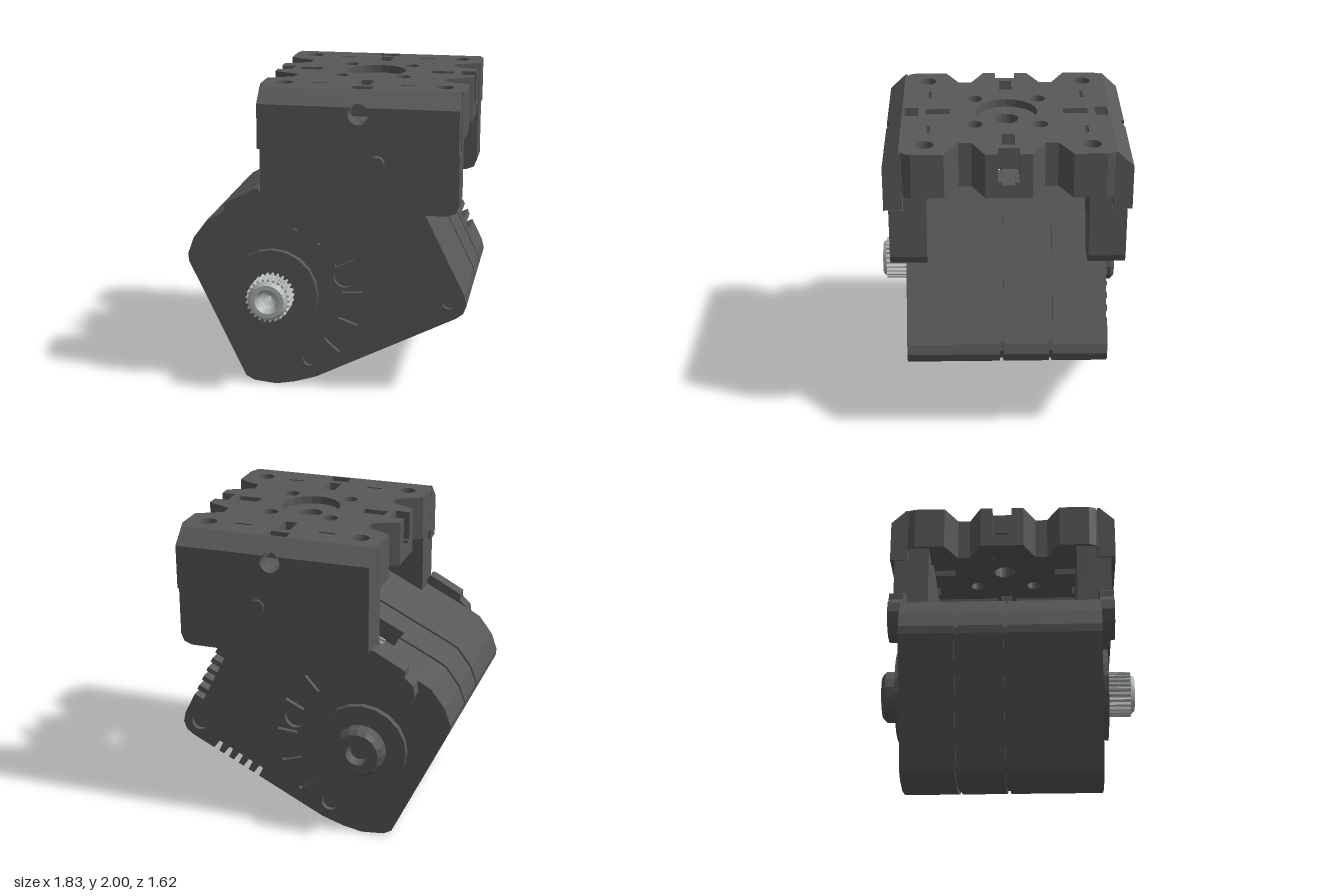
import * as THREE from 'three';

const dark = new THREE.MeshStandardMaterial({ color: 0x585858 });
dark.name = 'dark grey plastic';
const metal = new THREE.MeshStandardMaterial({ color: 0xb4b8b8 });
metal.name = 'light metal';

const HUB = [-0.34, 0.64];
const toShape = (pts) => new THREE.Shape(pts.map(([x, y]) => new THREE.Vector2(x, y)));
const toPath = (pts) => new THREE.Path(pts.map(([x, y]) => new THREE.Vector2(x, y)));
const circle = (x, y, r) => new THREE.Path().absarc(x, y, r, 0, Math.PI * 2, true);
const rect = (x, y, w, h) => toPath([[x - w, y - h], [x - w, y + h], [x + w, y + h], [x + w, y - h]]);

function add(group, name, geometry, material = dark) {
  const mesh = new THREE.Mesh(geometry, material);
  mesh.name = name;
  group.add(mesh);
  return mesh;
}

// extrude an x-y outline between two z values
function slab(pts, z0, z1, holes = []) {
  const shape = toShape(pts);
  shape.holes.push(...holes);
  const g = new THREE.ExtrudeGeometry(shape, { depth: Math.abs(z1 - z0), bevelEnabled: false, curveSegments: 10 });
  return g.translate(0, 0, Math.min(z0, z1));
}

// extrude an x-z outline between two heights
function layer(pts, y0, y1, holes = []) {
  return slab(pts, 0, y1 - y0, holes).rotateX(Math.PI / 2).translate(0, y1, 0);
}

// faceted turned part pointing along z
function turned(profile, sides, dir, x, y, z) {
  const g = new THREE.LatheGeometry(profile.map(([r, h]) => new THREE.Vector2(r, h)), sides).toNonIndexed();
  g.computeVertexNormals();
  return g.rotateX(dir * Math.PI / 2).translate(x, y, z);
}

// square cut running inward from the edge p-q
function cut(p, q, depth) {
  const dx = q[0] - p[0], dy = q[1] - p[1], l = Math.hypot(dx, dy);
  const nx = -dy / l * depth, ny = dx / l * depth;
  return [p, [p[0] + nx, p[1] + ny], [q[0] + nx, q[1] + ny], q];
}

// tilted case outline, optionally with cooling slots and a socket pocket
function caseOutline(fins, pocket) {
  const bottom = (y) => [(y - 0.07) / 0.5055 - 0.06, y];
  const right = (y) => [0.63 - 0.495 * (y - 1.23), y];
  const top = (x) => [x, 1.15 + 0.5 * (x + 0.69)];
  const p = [[-0.535, 0.045], [-0.48, 0.015], [-0.33, 0], [-0.2, 0.025], [-0.06, 0.07]];
  if (fins) for (const y of [0.305, 0.342, 0.377, 0.412, 0.447]) p.push(...cut(bottom(y - 0.009), bottom(y + 0.009), 0.07));
  p.push([0.85, 0.53], [0.895, 0.565], [0.915, 0.62], [0.9, 0.685]);
  if (fins) for (const y of [0.85, 0.923, 0.993, 1.06, 1.13]) p.push(...cut(right(y - 0.02), right(y + 0.02), 0.07));
  p.push([0.457, 1.58], [0.44, 1.62], [0.41, 1.648], [0.37, 1.66], [0.32, 1.652], [0.27, 1.63]);
  if (pocket) p.push(...cut(top(-0.26), top(-0.47), 0.12));
  p.push([-0.69, 1.15], [-0.78, 1.1], [-0.87, 0.98], [-0.91, 0.87], [-0.905, 0.82]);
  return p;
}

// engraved dial ticks and screw holes of a case face
function faceHoles(screw) {
  const holes = [circle(0.125, 0.765, 0.07), circle(0.8, 0.63, screw), circle(-0.11, 0.18, screw)];
  for (let i = 0; i < 6; i++) {
    const a = (71 - i * 22.5) * Math.PI / 180, c = Math.cos(a), s = Math.sin(a);
    holes.push(toPath([[0.45, -0.01], [0.45, 0.01], [0.585, 0.01], [0.585, -0.01]]
      .map(([r, t]) => [HUB[0] + r * c - t * s, HUB[1] + r * s + t * c])));
  }
  return holes;
}

function buildCase() {
  const g = new THREE.Group();
  g.name = 'motorCase';
  add(g, 'frontCover', slab(caseOutline(), 0.57, 0.6, faceHoles(0.04)));
  add(g, 'frontShell', slab(caseOutline(), 0.012, 0.57));
  add(g, 'middleShell', slab(caseOutline(), -0.22, -0.012));
  add(g, 'middleShellSocket', slab(caseOutline(false, true), -0.3, -0.22));
  add(g, 'rearShellSocket', slab(caseOutline(false, true), -0.4, -0.322));
  add(g, 'finnedShellSocket', slab(caseOutline(true, true), -0.52, -0.4));
  add(g, 'finnedShell', slab(caseOutline(true), -0.64, -0.52));
  add(g, 'rearCover', slab(caseOutline(true), -0.67, -0.64, faceHoles(0.055)));
  // recessed seams between the shells
  const inset = caseOutline().map(([x, y]) => [x * 0.97, 0.83 + (y - 0.83) * 0.97]);
  add(g, 'frontSeam', slab(inset, -0.012, 0.012));
  const socketInset = caseOutline(false, true).map(([x, y]) => [x * 0.97, 0.83 + (y - 0.83) * 0.97]);
  add(g, 'rearSeam', slab(socketInset, -0.322, -0.3));
  // socket pins
  for (let i = 0; i < 3; i++) {
    const pin = add(g, 'socketPin', new THREE.BoxGeometry(0.1, 0.02, 0.014), metal);
    pin.position.set(-0.32, 1.24, -0.3 - i * 0.05);
    pin.rotation.z = 0.46;
  }
  return g;
}

function buildShafts() {
  const g = new THREE.Group();
  g.name = 'shafts';
  add(g, 'frontHubRing', turned([[0.295, 0], [0.295, 0.04], [0, 0.04]], 20, 1, ...HUB, 0.6));
  add(g, 'rearHubRing', turned([[0.295, 0], [0.295, 0.04], [0, 0.04]], 20, -1, ...HUB, -0.67));
  add(g, 'rearBoss', turned([[0.165, 0], [0.165, 0.075], [0.14, 0.1], [0.075, 0.1], [0.065, 0.03], [0, 0.03]], 16, -1, ...HUB, -0.71));
  // toothed output shaft with a countersunk bore
  const teeth = [];
  for (let i = 0; i < 100; i++) {
    const a = i / 100 * Math.PI * 2, r = i % 4 < 2 ? 0.145 : 0.125;
    teeth.push([HUB[0] + r * Math.cos(a), HUB[1] + r * Math.sin(a)]);
  }
  add(g, 'outputSpline', slab(teeth, 0.64, 0.785, [circle(...HUB, 0.08)]), metal);
  add(g, 'outputShaftEnd', turned([[0.13, 0], [0.11, 0.025], [0.08, 0.025], [0.062, 0], [0.055, -0.06], [0, -0.1]], 24, 1, ...HUB, 0.785), metal);
  return g;
}

// one side of the bracket; mirrored in z about the bracket centre
function buildArm(front) {
  const g = new THREE.Group();
  g.name = front ? 'frontArm' : 'rearArm';
  const Z = (z) => (front ? z : -0.075 - z);
  const corner = [[0.86, 1.3], [0.84, 1.25], [0.79, 1.23]];
  add(g, 'armBlock', slab([[0.86, 1.795], ...corner, [-0.4, 1.23], [-0.4, 1.795]], Z(0.46), Z(0.598)));
  add(g, 'armPlate', slab([[0.86, 1.62], ...corner, [0.02, 1.23], [-0.45, 0.98], [-0.52, 0.952], [-0.6, 0.957],
    [-0.67, 1.005], [-0.7, 1.08], [-0.69, 1.15], [-0.635, 1.2], [-0.635, 1.245], [-0.44, 1.35], [-0.415, 1.355],
    [-0.4, 1.33], [-0.4, 1.62]], Z(0.598), Z(0.69), [circle(0.34, 1.54, 0.06)]));
  add(g, 'armScrew', new THREE.CylinderGeometry(0.045, 0.045, 0.06, 20).rotateX(Math.PI / 2).translate(0.34, 1.54, Z(0.65)));
  // thick upper wall, split at the chamfer line, with a round hole across the split
  const arc = (a0, a1) => Array.from({ length: 13 }, (_, i) => {
    const a = a0 + (a1 - a0) * i / 12;
    return [0.23 + 0.065 * Math.cos(a), 1.86 + 0.065 * Math.sin(a)];
  });
  const t = Math.asin(0.045 / 0.065);
  add(g, 'upperWall', slab([[-0.41, 1.905], [-0.41, 1.62], [0.857, 1.62], [0.857, 1.905],
    ...arc(t, -Math.PI - t)], Z(0.605), Z(0.72)));
  const bevel = slab([[-0.41, 2], [-0.41, 1.905], ...arc(Math.PI - t, t), [0.857, 1.905], [0.857, 2]], Z(0.605), Z(0.72));
  const pos = bevel.attributes.position;
  for (let i = 0; i < pos.count; i++) {
    if (Math.abs(pos.getZ(i) - Z(0.72)) < 0.01) pos.setZ(i, Z(0.72 - Math.max(0, pos.getY(i) - 1.905) / 0.095 * 0.1));
  }
  bevel.computeVertexNormals();
  add(g, 'wallChamfer', bevel);
  return g;
}

function buildTopPlate() {
  const g = new THREE.Group();
  g.name = 'mountingPlate';
  g.position.set(0.2275, 0, -0.0425);
  // half of the notched outline, then the same half turned around
  const side = [[0.59, -0.652], [0.635, -0.635], [0.652, -0.59], [0.652, -0.39], [0.485, -0.305], [0.485, -0.225],
    [0.652, -0.145], [0.652, -0.065], [0.56, -0.065]];
  const half = [...side, ...side.map(([x, z]) => [x, -z]).reverse(),
    [0.065, 0.652], [0.065, 0.56], [-0.065, 0.56], [-0.065, 0.652]];
  const outline = [...half, ...half.map(([x, z]) => [-x, -z])];
  const holes = (centre) => {
    const h = [circle(0, 0, centre)];
    for (const s of [-1, 1]) {
      h.push(rect(0, s * 0.435, 0.04, 0.077), rect(s * 0.435, 0, 0.077, 0.04));
      for (const t of [-1, 1]) {
        h.push(circle(s * 0.508, t * 0.508, 0.055), circle(s * 0.204, t * 0.204, 0.05), rect(s * 0.28, t * 0.49, 0.055, 0.01));
      }
    }
    return h;
  };
  add(g, 'plateTop', layer(outline, 1.95, 2, holes(0.195)));
  add(g, 'plateBase', layer(outline, 1.86, 1.95, holes(0.075)));
  // rim under both ends of the plate
  for (const s of [-1, 1]) {
    const flip = (pts, t = 1) => pts.map(([x, z]) => [x * s, z * t]);
    add(g, 'rimCentre', layer(flip([[0.652, -0.145], [0.652, 0.145], [0.485, 0.225], [0.485, -0.225]]), 1.71, 1.795));
    for (const t of [-1, 1]) {
      add(g, 'rimCorner', layer(flip([...side.slice(0, 5), [0.4, -0.305], [0.4, -0.652]], t), 1.71, 1.86));
      add(g, 'rimCheek', layer(flip([[0.652, 0.065], [0.652, 0.145], [0.485, 0.225], [0.485, 0.065]], t), 1.795, 1.86));
      add(g, 'rimSlotFoot', layer(flip([[0.652, 0.04], [0.652, 0.065], [0.485, 0.065], [0.485, 0.04]], t), 1.795, 1.815));
      add(g, 'rimBack', layer(flip([[0.4, 0.065], [0.485, 0.065], [0.485, 0.305], [0.4, 0.305]], t), 1.71, 1.86));
    }
  }
  return g;
}

export function createModel() {
  const model = new THREE.Group();
  model.name = 'servoWithBracket';
  model.add(buildCase(), buildShafts(), buildArm(true), buildArm(false), buildTopPlate());
  return model;
}
